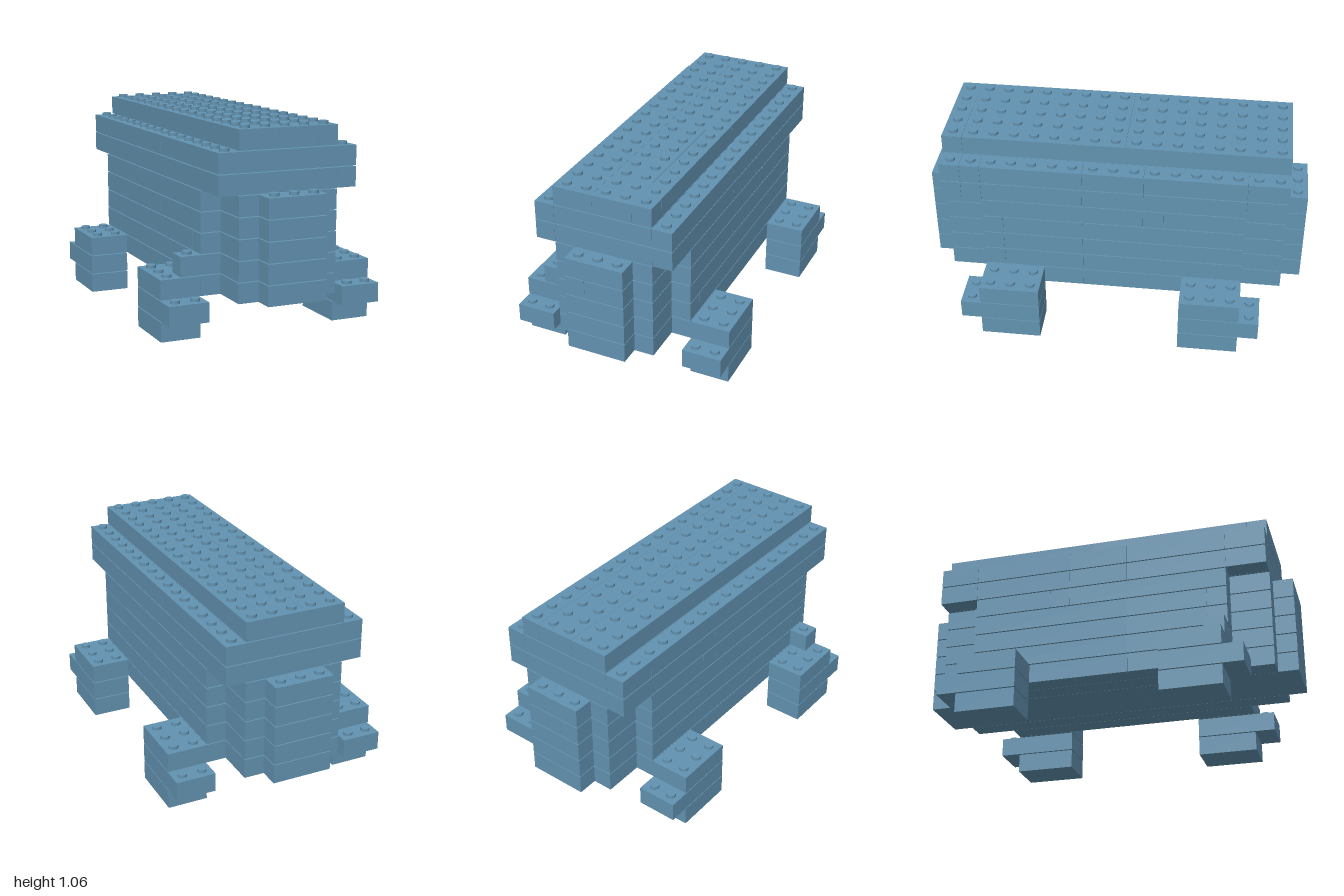
import * as THREE from 'three';
import { mergeGeometries } from 'three/addons/utils/BufferGeometryUtils.js';

const U = 2 / 19;        // one stud pitch, also one layer height
const GAP = 0.005;       // seam between layers
const SEAM = 0.001;      // seam between neighbouring bricks

export function createModel() {
  const model = new THREE.Group();
  model.name = 'brickModel';
  const blue = new THREE.MeshStandardMaterial({ color: 0x6292b0 });
  blue.name = 'sandBlue';

  // Brick spanning stud units x0..x1, z0..z1 on the given layer
  const brick = (layer, x0, x1, z0, z1) =>
    new THREE.BoxGeometry((x1 - x0) * U - SEAM, U - GAP, (z1 - z0) * U - SEAM)
      .translate((x0 + x1) / 2 * U, (layer + 0.5) * U + GAP / 2, (z0 + z1) / 2 * U);

  // Row of bricks running along z, split at the joints
  const row = (layer, x0, x1, z0, z1, joints = []) => {
    const cuts = [z0, ...joints.filter(j => j > z0 && j < z1), z1].sort((a, b) => a - b);
    return cuts.slice(1).map((z, i) => brick(layer, x0, x1, cuts[i], z));
  };

  // Stud standing on top of the given layer
  const stud = (layer, x, z) =>
    new THREE.CylinderGeometry(0.0245, 0.0245, 0.018, 20)
      .translate(x * U, (layer + 1) * U + 0.007, z * U);

  const add = (name, parts) => {
    const mesh = new THREE.Mesh(mergeGeometries(parts), blue);
    mesh.name = name;
    model.add(mesh);
  };

  // Stepped lower body, layers 2 to 6
  const lowerJoints = { 2: [1.5], 3: [1.5, 5.5], 4: [1.5, 5.5], 5: [1.5, 5.5], 6: [-2.5, -1.5] };
  for (let n = 2; n <= 6; n++) {
    const parts = [];
    for (const s of [-1, 1]) {
      const strip = (a, b, z, j) => row(n, Math.min(s * a, s * b), Math.max(s * a, s * b), -z, z, j);
      parts.push(...strip(2.5, 3.5, 6.5, lowerJoints[n]), ...strip(1.5, 2.5, 8.5, [-6.5, 6.5]));
    }
    if (n === 5) {
      parts.push(...row(n, -1.5, -0.5, -9.5, 9.5, [0]), ...row(n, -0.5, 1.5, -9.5, 9.5, [0]));
    } else if (n === 6) {
      parts.push(...row(n, -1.5, 1.5, -8.5, 9.5, [1.5]),
        brick(n, -1.5, 0.5, -9.5, -8.5), brick(n, 0.5, 1.5, -9.5, -8.5));
    } else {
      parts.push(...row(n, -1.5, 1.5, -9.5, 9.5, [-6.5, 1.5]));
    }
    add('lowerBodyLayer' + (n - 1), parts);
  }

  // Wide upper body, layers 7 and 8
  for (const n of [7, 8]) {
    add('upperBodyLayer' + (n - 6), [
      ...row(n, -3.5, -2.5, -8.5, 8.5, [-6.5, -1.5, 1.5, 6.5]),
      ...row(n, -2.5, 2.5, -8.5, 8.5, [-1.5, 7.5]),
      ...row(n, 2.5, 3.5, -8.5, 8.5, [-6.5, -1.5, 1.5, 6.5, 7.5]),
    ]);
  }

  // Narrower roof layer
  add('roof', [
    ...row(9, -2.5, -0.5, -8.5, 8.5, [-0.5, 7.5]),
    ...row(9, -0.5, 1.5, -8.5, 8.5, [-0.5, 7.5]),
    ...row(9, 1.5, 2.5, -8.5, 8.5, [-0.5, 7.5]),
  ]);

  // Studs on the roof, its side ledges and the end tabs
  const topStuds = [];
  for (let z = -8; z <= 8; z++)
    for (let x = -3; x <= 3; x++) topStuds.push(stud(Math.abs(x) === 3 ? 8 : 9, x, z));
  for (const z of [-9, 9])
    for (const x of [-1, 0, 1]) topStuds.push(stud(6, x, z));
  add('bodyStuds', topStuds);

  // Four legs, each three layers with a longer middle brick
  for (const sx of [-1, 1]) for (const sz of [-1, 1]) {
    const x0 = sx > 0 ? 3.5 : -5.5;
    const parts = [6.5, 7.5, 6.5].map((end, n) =>
      brick(n, x0, x0 + 2, Math.min(sz * 3.5, sz * end), Math.max(sz * 3.5, sz * end)));
    for (const x of [4, 5]) {
      for (const z of [4, 5, 6]) parts.push(stud(2, sx * x, sz * z));
      parts.push(stud(1, sx * x, sz * 7));
    }
    add((sz > 0 ? 'front' : 'back') + (sx > 0 ? 'Left' : 'Right') + 'Leg', parts);
  }

  // Single block on the front right leg
  add('sideBlock', [brick(3, -4.5, -3.5, 5.5, 6.5), stud(3, -4, 6)]);

  return model;
}
